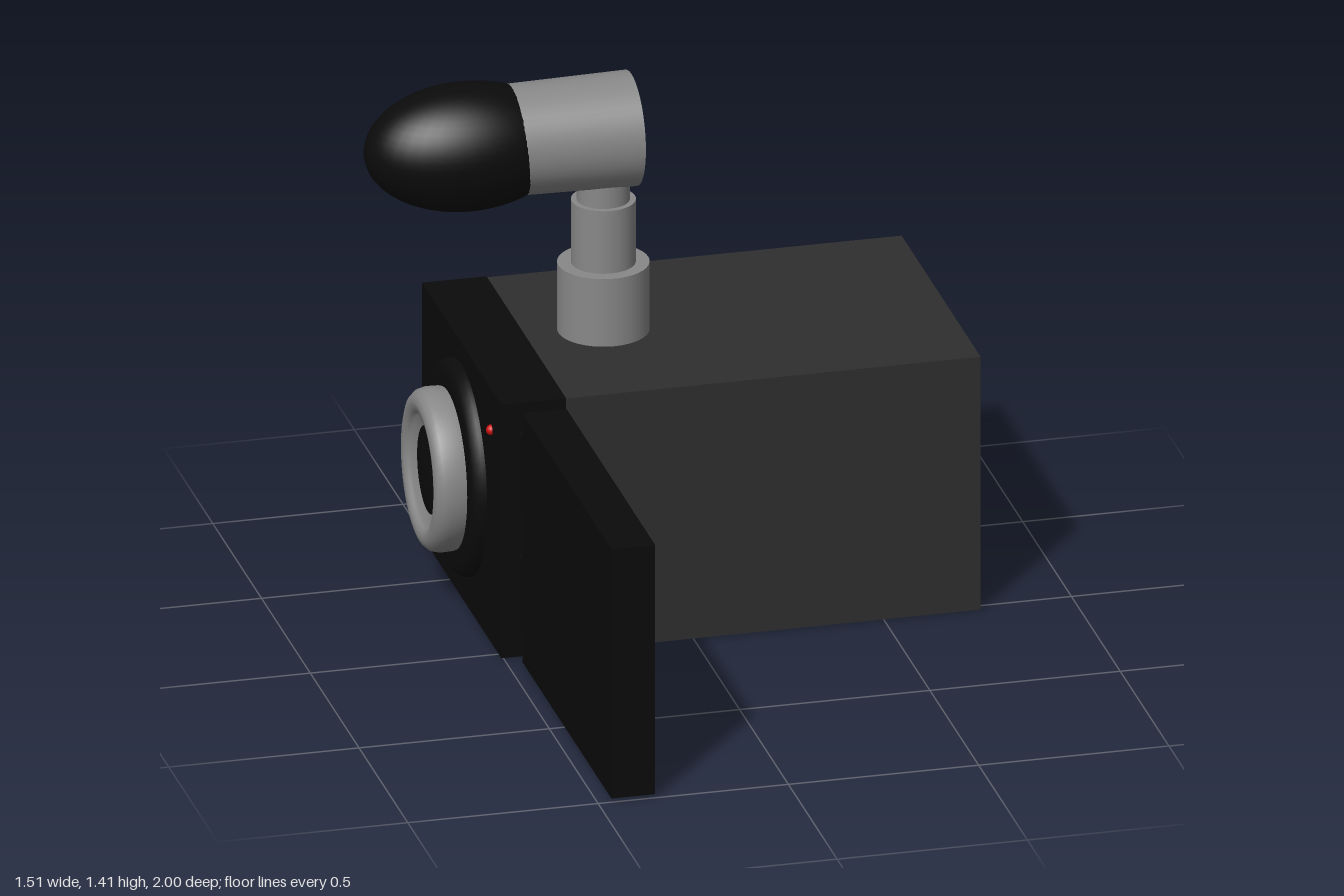
import * as THREE from 'three';

const mat = (color, side = THREE.FrontSide) => new THREE.MeshStandardMaterial({ color, side });
const black = mat(0x0b0b0b);
const charcoal = mat(0x2e2e2e);
const grey = mat(0x888888);
const red = mat(0xcc1010);

export function createModel() {
  const model = new THREE.Group();
  model.name = 'camcorder';

  const add = (name, geometry, material, x = 0, y = 0, z = 0) => {
    const mesh = new THREE.Mesh(geometry, material);
    mesh.name = name;
    mesh.position.set(x, y, z);
    model.add(mesh);
    return mesh;
  };

  // Box given by its extents on each axis
  const box = (name, material, [x0, x1], [y0, y1], [z0, z1]) =>
    add(name, new THREE.BoxGeometry(x1 - x0, y1 - y0, z1 - z0), material,
      (x0 + x1) / 2, (y0 + y1) / 2, (z0 + z1) / 2);

  // Body and the dark plate that carries the lens
  box('body', charcoal, [-0.34, 0.755], [0, 0.7], [-0.785, 0.025]);
  box('lensPlate', black, [-0.505, -0.335], [0, 0.702], [-0.788, 0.028]);

  // Fold-out screen on two hinges
  box('screen', black, [-0.465, -0.35], [0.01, 0.7], [0.09, 1]);
  for (const [y0, y1] of [[0.08, 0.28], [0.42, 0.62]])
    box('screenHinge', black, [-0.46, -0.355], [y0, y1], [0, 0.12]);

  // Lens: lathes of [radius, height] turned to face -x
  const lensPart = (name, points, material) => {
    const profile = points.map(([r, h]) => new THREE.Vector2(r, h));
    const mesh = add(name, new THREE.LatheGeometry(profile, 48), material, -0.5, 0.36, -0.385);
    mesh.rotation.z = Math.PI / 2;
    mesh.scale.z = 0.94;
  };
  lensPart('lensBase',
    [[0.285, -0.02], [0.285, 0.015], [0.278, 0.03], [0.262, 0.038], [0.24, 0.04], [0, 0.04]], black);
  lensPart('lensRing',
    [[0.205, 0.02], [0.214, 0.045], [0.215, 0.08], [0.21, 0.1], [0.197, 0.114], [0.18, 0.12],
      [0.162, 0.117], [0.152, 0.108], [0.145, 0.1], [0.11, 0.088]], grey);
  lensPart('lensGlass', [[0.118, 0.086], [0.115, 0.093], [0.07, 0.098], [0, 0.1]], black);

  // Recording light
  add('recordingLight', new THREE.SphereGeometry(0.014, 16, 12), red, -0.505, 0.59, -0.075);

  // Stepped microphone stand
  for (const [radius, y0, y1] of [[0.118, 0.68, 0.887], [0.083, 0.88, 1.06], [0.068, 1.05, 1.16]])
    add('microphoneStand', new THREE.CylinderGeometry(radius, radius, y1 - y0, 40), grey,
      -0.13, (y0 + y1) / 2, -0.39);

  // Microphone barrel and foam cover
  const barrel = add('microphoneBarrel', new THREE.CylinderGeometry(0.143, 0.149, 0.34, 48),
    grey, -0.225, 1.246, -0.395);
  barrel.rotation.z = Math.PI / 2;
  const foam = add('microphoneFoam', new THREE.SphereGeometry(1, 40, 28), black, -0.49, 1.241, -0.395);
  foam.scale.set(0.266, 0.167, 0.165);

  // Hand grip: a bulged section extruded along x
  const section = new THREE.Shape();
  section.moveTo(-0.08, 0.14);
  section.lineTo(0.01, 0.14);
  section.bezierCurveTo(0.035, 0.15, 0.055, 0.26, 0.057, 0.36);
  section.bezierCurveTo(0.055, 0.47, 0.035, 0.575, 0.005, 0.585);
  section.lineTo(-0.08, 0.585);
  section.quadraticCurveTo(-0.05, 0.36, -0.08, 0.14);
  const grip = add('handGrip',
    new THREE.ExtrudeGeometry(section, { depth: 0.66, bevelEnabled: false, curveSegments: 16 }),
    black, -0.205, 0, -0.942);
  grip.rotation.y = Math.PI / 2 - 0.03;

  // Two oval arms at each end of the grip, running into the body
  const arm = (from, to, y) => {
    const a = new THREE.Vector3(from[0], y, from[1]);
    const b = new THREE.Vector3(to[0], y, to[1]);
    const geometry = new THREE.CylinderGeometry(0.05, 0.05, a.distanceTo(b), 28);
    geometry.scale(1, 1, 1.84);
    geometry.rotateZ(-Math.PI / 2);
    geometry.rotateX(Math.PI / 2);
    const mid = a.clone().add(b).multiplyScalar(0.5);
    const mesh = add('gripArm', geometry, black, mid.x, mid.y, mid.z);
    mesh.rotation.y = Math.atan2(a.z - b.z, b.x - a.x);
  };
  for (const y of [0.233, 0.492]) {
    arm([-0.425, -0.77], [-0.185, -0.945], y);
    arm([0.43, -0.93], [0.645, -0.74], y);
  }

  return model;
}
